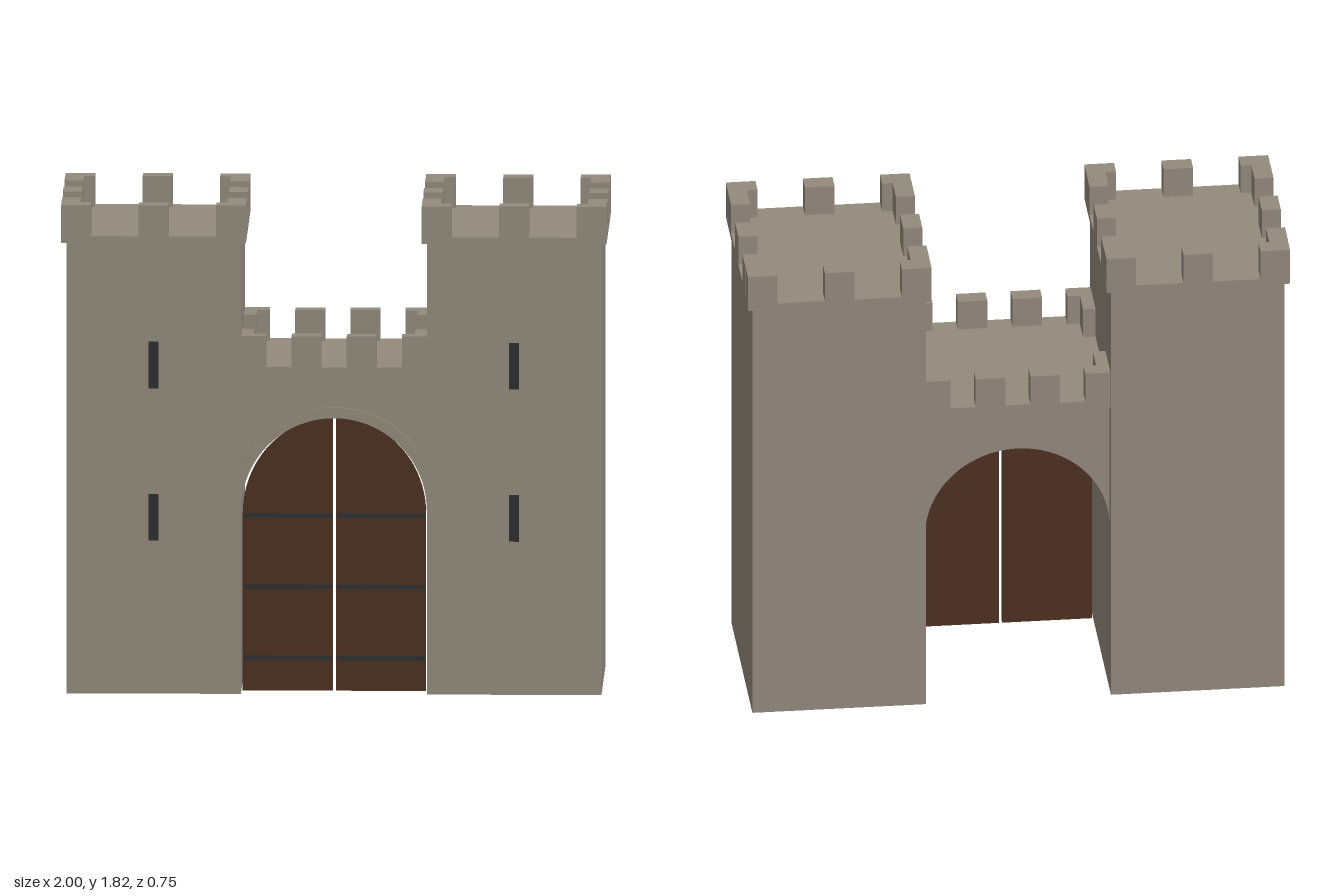
import * as THREE from 'three';
import { toCreasedNormals } from 'three/addons/utils/BufferGeometryUtils.js';

export function createModel() {
  const material = (name, color) => {
    const m = new THREE.MeshStandardMaterial({ color });
    m.name = name;
    return m;
  };
  const stone = material('stone', 0x948b7e);
  const wood = material('wood', 0x4d3221);
  const iron = material('iron', 0x2d2f31);

  const model = new THREE.Group();
  model.name = 'castleGate';

  const group = (name, parent) => {
    const g = new THREE.Group();
    g.name = name;
    parent.add(g);
    return g;
  };
  // Box given by its lower and upper corners
  const box = (name, parent, mat, [x0, y0, z0], [x1, y1, z1]) => {
    const mesh = new THREE.Mesh(new THREE.BoxGeometry(x1 - x0, y1 - y0, z1 - z0), mat);
    mesh.position.set((x0 + x1) / 2, (y0 + y1) / 2, (z0 + z1) / 2);
    mesh.name = name;
    parent.add(mesh);
  };
  const extrude = (name, parent, mat, shape, z0, z1) => {
    const geo = new THREE.ExtrudeGeometry(shape, { depth: z1 - z0, bevelEnabled: false, curveSegments: 40 });
    geo.translate(0, 0, z0);
    const mesh = new THREE.Mesh(toCreasedNormals(geo, 0.5), mat);
    mesh.name = name;
    parent.add(mesh);
  };

  // Merlons along all four edges of a roof slab
  const MW = 0.109, MH = 0.115;
  const battlement = (parent, cx, y, hx, hz, depth, xs, zs) => {
    for (const s of [-1, 1]) {
      const za = s > 0 ? hz - depth : -hz;
      for (const x of xs)
        box('merlon', parent, stone, [cx + x - MW / 2, y, za], [cx + x + MW / 2, y + MH, za + depth]);
      const xa = cx + (s > 0 ? hx - depth : -hx);
      for (const z of zs)
        box('sideMerlon', parent, stone, [xa, y, z - MW / 2], [xa + depth, y + MH, z + MW / 2]);
    }
  };

  // Towers
  for (const s of [-1, 1]) {
    const tower = group(s > 0 ? 'leftTower' : 'rightTower', model);
    const cx = s * 0.661;
    box('towerBody', tower, stone, [cx - 0.32, 0, -0.357], [cx + 0.32, 1.675, 0.357]);
    box('towerCap', tower, stone, [cx - 0.339, 1.675, -0.375], [cx + 0.339, 1.7, 0.375]);
    battlement(tower, cx, 1.7, 0.339, 0.375, 0.07, [-0.284, 0, 0.284], [-0.25, 0, 0.25]);
    // Arrow slits
    for (const y of [0.655, 1.22])
      box('arrowSlit', tower, iron, [cx - 0.018, y - 0.086, 0.355], [cx + 0.018, y + 0.086, 0.362]);
  }

  // Gatehouse wall with a vaulted passage
  const gatehouse = group('gatehouse', model);
  const R = 0.34, SPRING = 0.68;
  const wall = new THREE.Shape();
  wall.moveTo(R, SPRING);
  wall.lineTo(R, 1.18);
  wall.lineTo(-R, 1.18);
  wall.lineTo(-R, SPRING);
  wall.absarc(0, SPRING, R, Math.PI, 0, true);
  extrude('gateWall', gatehouse, stone, wall, -0.32, 0.32);
  box('gateCap', gatehouse, stone, [-0.358, 1.18, -0.338], [0.358, 1.21, 0.338]);
  battlement(gatehouse, 0, 1.21, 0.358, 0.338, 0.063, [-0.303, -0.101, 0.101, 0.303], [-0.221, 0.221]);

  // Raised arch trim on the front
  const ring = new THREE.Shape();
  ring.absarc(0, SPRING, R + 0.04, 0, Math.PI, false);
  ring.absarc(0, SPRING, R, Math.PI, 0, true);
  extrude('archTrim', gatehouse, stone, ring, 0.315, 0.332);

  // Pair of arched doors with iron straps
  for (const s of [-1, 1]) {
    const door = group(s > 0 ? 'leftDoor' : 'rightDoor', model);
    const leaf = new THREE.Shape();
    const gap = 0.006, rx = 0.336, ry = 0.357, base = 0.655;
    leaf.moveTo(s * gap, 0);
    leaf.lineTo(s * rx, 0);
    leaf.lineTo(s * rx, base);
    leaf.absellipse(0, base, rx, ry, s > 0 ? 0 : Math.PI, Math.PI / 2 - s * 0.018, s < 0);
    leaf.lineTo(s * gap, 0);
    extrude('doorLeaf', door, wood, leaf, 0.25, 0.275);
    for (const y of [0.122, 0.386, 0.651]) {
      const a = s * 0.01, b = s * 0.332;
      box('doorStrap', door, iron, [Math.min(a, b), y - 0.008, 0.273], [Math.max(a, b), y + 0.008, 0.282]);
    }
  }
  return model;
}
